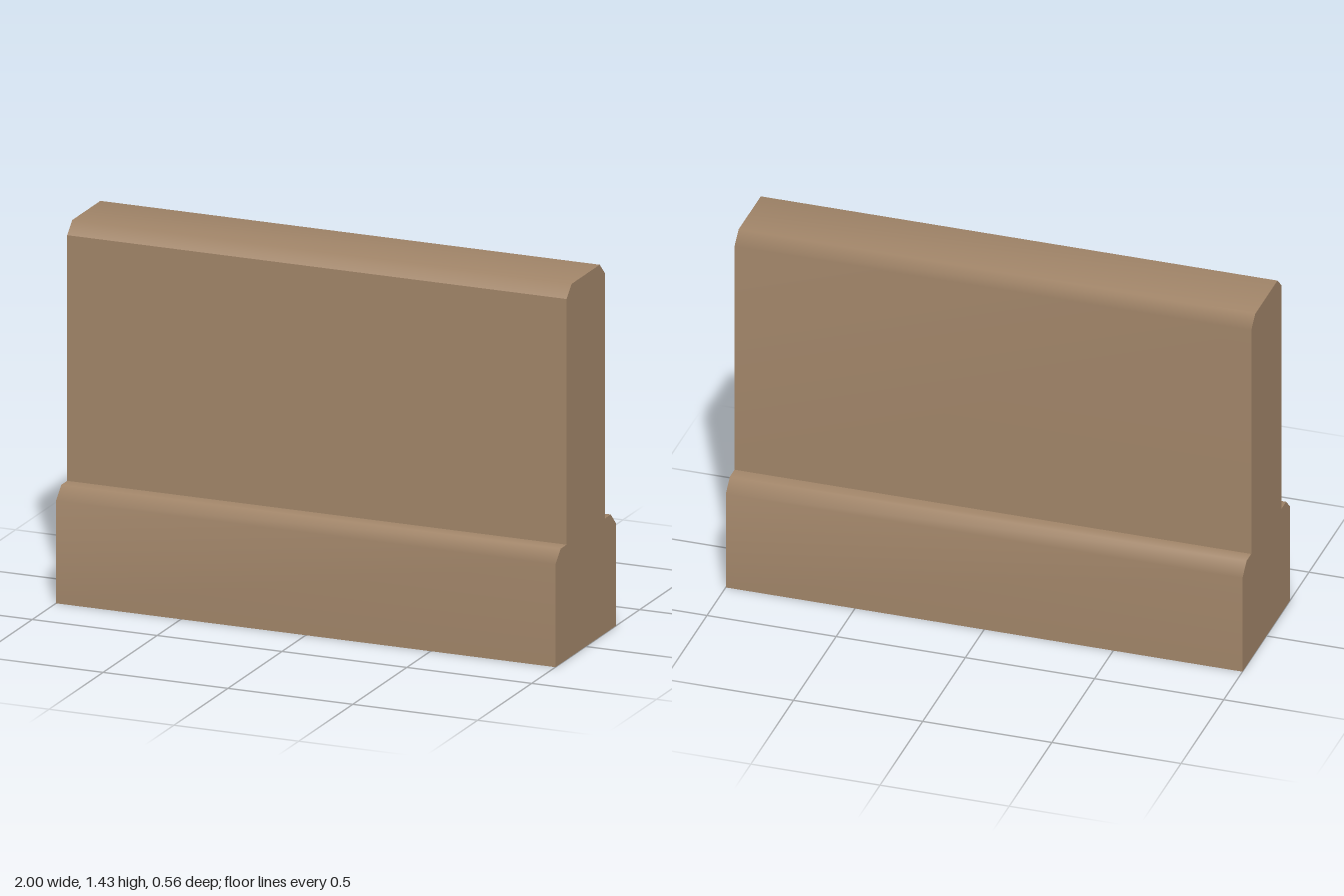
import * as THREE from 'three';

const HALF = 1; // half length along x

// Profile runs as [z, y]; each run is smooth inside and sharp where it meets the next.
const RUNS = {
  frontPlinth: [[0.28, 0], [0.28, 0.395], [0.232, 0.442], [0.177, 0.442]],
  frontWall: [[0.177, 0.442], [0.177, 1.387]],
  copingAndBackWall: [[0.177, 1.387], [0.13, 1.432], [-0.13, 1.432], [-0.177, 1.387], [-0.177, 0.442]],
  backPlinth: [[-0.177, 0.442], [-0.232, 0.442], [-0.28, 0.395], [-0.28, 0]],
  underside: [[-0.28, 0], [0.28, 0]],
};

// Sweeps a run of profile points along x.
function sweep(points) {
  const positions = [];
  const index = [];
  points.forEach(([z, y], i) => {
    positions.push(-HALF, y, z, HALF, y, z);
    if (i > 0) {
      const a = 2 * (i - 1);
      index.push(a, a + 1, a + 3, a, a + 3, a + 2);
    }
  });
  const geometry = new THREE.BufferGeometry();
  geometry.setAttribute('position', new THREE.Float32BufferAttribute(positions, 3));
  geometry.setIndex(index);
  geometry.computeVertexNormals();
  return geometry;
}

export function createModel() {
  const model = new THREE.Group();
  model.name = 'barrierWall';
  const stone = new THREE.MeshStandardMaterial({ color: 0xa08468 });
  stone.name = 'brown stone';

  // Long faces
  for (const [name, points] of Object.entries(RUNS)) {
    const mesh = new THREE.Mesh(sweep(points), stone);
    mesh.name = name;
    model.add(mesh);
  }

  // Flat ends, cut from the same symmetric profile
  const outline = Object.values(RUNS).flatMap((run) => run.slice(0, -1));
  const endShape = new THREE.Shape(outline.map(([z, y]) => new THREE.Vector2(z, y)));
  for (const side of [-1, 1]) {
    const end = new THREE.Mesh(new THREE.ShapeGeometry(endShape), stone);
    end.name = side > 0 ? 'leftEnd' : 'rightEnd';
    end.rotation.y = side * Math.PI / 2;
    end.position.x = side * HALF;
    model.add(end);
  }
  return model;
}
